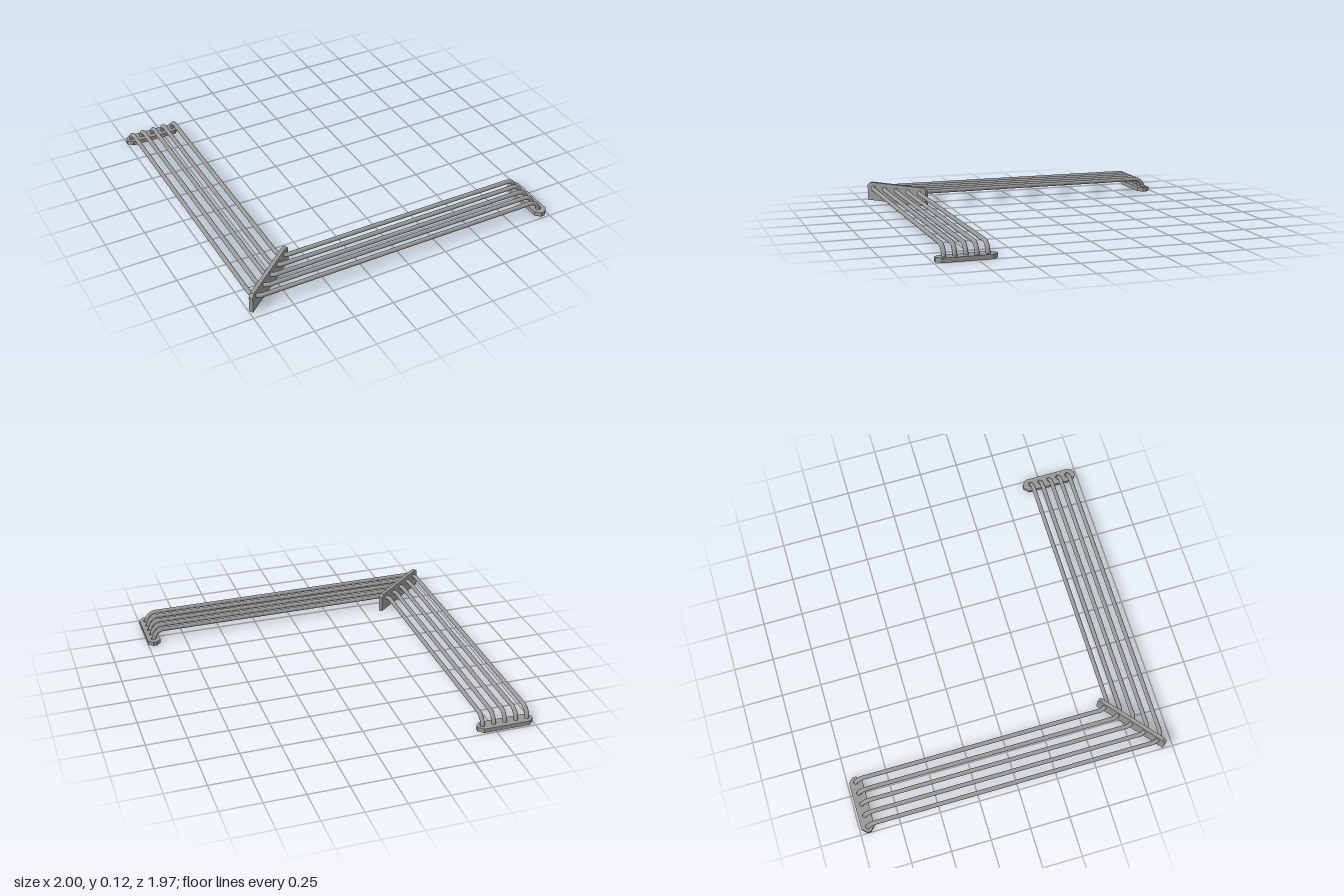
import * as THREE from 'three';
import { mergeGeometries } from 'three/addons/utils/BufferGeometryUtils.js';

const PIPES = 5, RADIUS = 0.0135, BEND = 0.066, LEVEL = 0.086;
const material = new THREE.MeshStandardMaterial({ color: 0x999999 });
const openMaterial = new THREE.MeshStandardMaterial({ color: 0x999999, side: THREE.DoubleSide });

// Round pipe through corner points, each corner eased with a quarter bend
function pipeGeometry(points) {
  const parts = [];
  const add = (curve, steps) => parts.push(new THREE.TubeGeometry(curve, steps, RADIUS, 16));
  let from = points[0];
  for (let i = 1; i < points.length - 1; i++) {
    const corner = points[i];
    const towards = (p, d) => p.clone().sub(corner).setLength(d).add(corner);
    const start = towards(points[i - 1], BEND), end = towards(points[i + 1], BEND);
    const handle = BEND * (1 - 0.5523);
    add(new THREE.LineCurve3(from, start), 1);
    add(new THREE.CubicBezierCurve3(start, towards(points[i - 1], handle), towards(points[i + 1], handle), end), 10);
    from = end;
  }
  add(new THREE.LineCurve3(from, points[points.length - 1]), 1);
  return mergeGeometries(parts);
}

// Flat foot plate with clipped corners and one hole per pipe
function footPlate(name, length, width, spacing, holeShift) {
  const a = length / 2, b = width / 2, c = 0.03;
  const shape = new THREE.Shape([
    [-a + c, -b], [a - c, -b], [a, -b + c], [a, b - c],
    [a - c, b], [-a + c, b], [-a, b - c], [-a, -b + c],
  ].map(([x, y]) => new THREE.Vector2(x, y)));
  for (let i = 0; i < PIPES; i++) {
    const hole = new THREE.Path();
    hole.absarc((i - 2) * spacing, holeShift, RADIUS, 0, Math.PI * 2, true);
    shape.holes.push(hole);
  }
  const geometry = new THREE.ExtrudeGeometry(shape, { depth: 0.027, bevelEnabled: false, curveSegments: 16 });
  geometry.rotateX(-Math.PI / 2);
  const mesh = new THREE.Mesh(geometry, material);
  mesh.name = name;
  return mesh;
}

export function createModel() {
  const model = new THREE.Group();
  model.name = 'pipeRun';

  // Parallel pipes: down at the back, along the side, round the corner, down at the left
  for (let i = 0; i < PIPES; i++) {
    const x = -0.824 + (i - 2) * 0.072, z = 0.809 - (i - 2) * 0.063;
    const path = [
      [x, 0, -0.947], [x, LEVEL, -0.947], [x, LEVEL, z], [0.955, LEVEL, z], [0.955, 0, z],
    ].map((p) => new THREE.Vector3(...p));
    const pipe = new THREE.Mesh(pipeGeometry(path), openMaterial);
    pipe.name = `pipe${i + 1}`;
    model.add(pipe);
  }

  // Foot plates at both ends
  const backPlate = footPlate('backFootPlate', 0.355, 0.082, 0.072, 0);
  backPlate.position.set(-0.8225, 0, -0.947);
  const leftPlate = footPlate('leftFootPlate', 0.356, 0.083, 0.063, -0.0035);
  leftPlate.rotation.y = Math.PI / 2;
  leftPlate.position.set(0.9585, 0, 0.809);
  model.add(backPlate, leftPlate);

  // Diagonal support plate at the corner, upper corners clipped
  const half = 0.243, height = 0.122, clip = 0.02, thick = 0.024;
  const outline = new THREE.Shape([
    [-half, 0], [half, 0], [half, height - clip], [half - clip, height],
    [-half + clip, height], [-half, height - clip],
  ].map(([x, y]) => new THREE.Vector2(x, y)));
  const support = new THREE.ExtrudeGeometry(outline, { depth: thick, bevelEnabled: false });
  support.translate(0, 0, -thick / 2);
  const cornerSupport = new THREE.Mesh(support, material);
  cornerSupport.name = 'cornerSupport';
  cornerSupport.rotation.y = THREE.MathUtils.degToRad(39.7);
  cornerSupport.position.set(-0.802, 0, 0.79);
  model.add(cornerSupport);

  return model;
}
